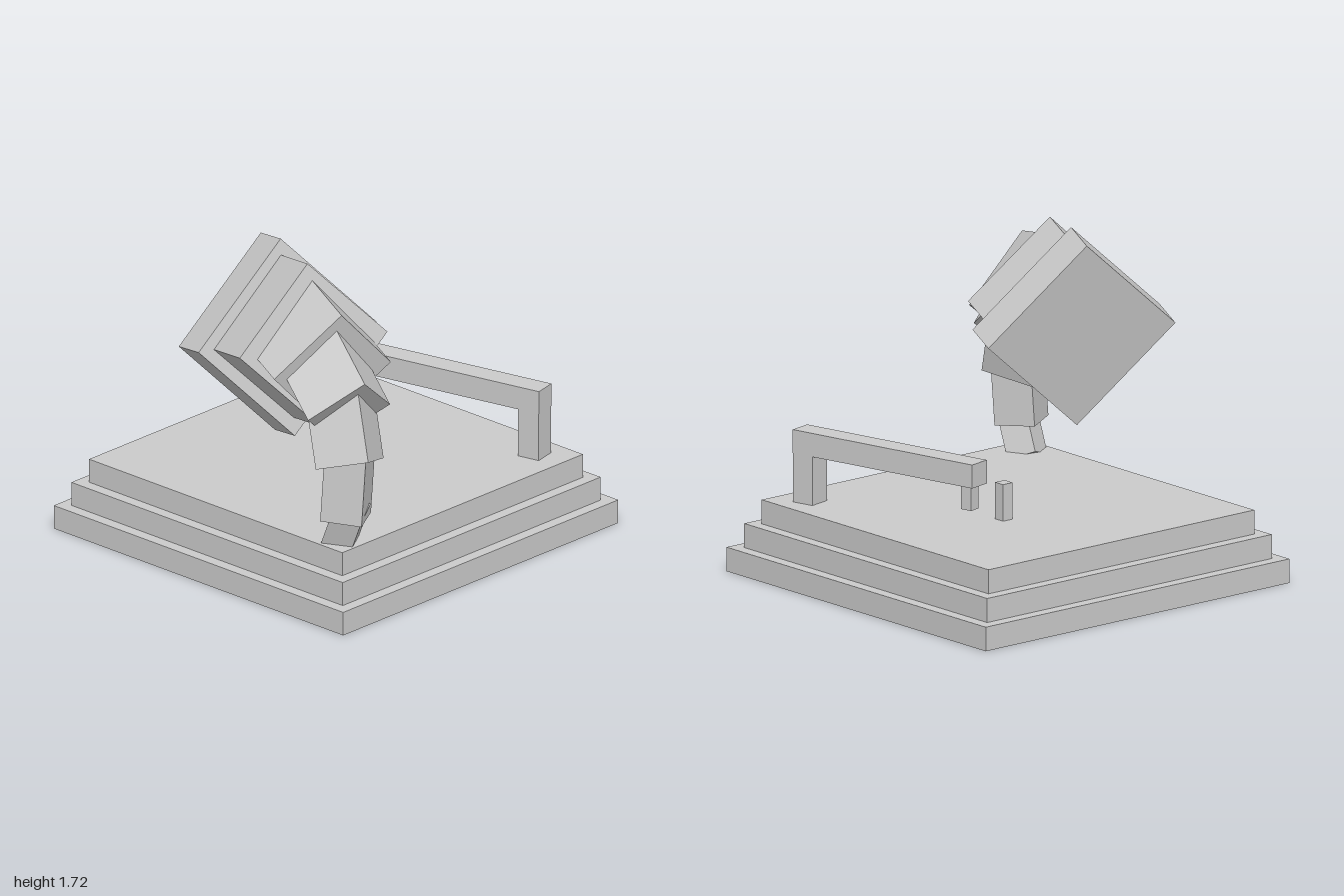
import * as THREE from 'three';

const material = new THREE.MeshStandardMaterial({ color: 0xcccccc, flatShading: true });

function box(parent, name, w, h, d, x, y, z) {
  const mesh = new THREE.Mesh(new THREE.BoxGeometry(w, h, d), material);
  mesh.name = name;
  mesh.position.set(x, y, z);
  parent.add(mesh);
  return mesh;
}

// Square block whose lower end is centred on `end`, running back against `axis`
function segment(parent, name, end, axis, side, size, length) {
  const t = new THREE.Vector3(...axis).normalize();
  const u = new THREE.Vector3(...side);
  u.addScaledVector(t, -u.dot(t)).normalize();
  const w = new THREE.Vector3().crossVectors(u, t);
  const mesh = box(parent, name, size, length, size, 0, 0, 0);
  mesh.quaternion.setFromRotationMatrix(new THREE.Matrix4().makeBasis(u, t, w));
  mesh.position.set(...end).addScaledVector(t, -length / 2);
}

export function createModel() {
  const model = new THREE.Group();
  model.name = 'steppedBaseWithCurledArm';

  // Stepped base
  [2, 1.875, 1.75].forEach((s, i) =>
    box(model, 'baseStep' + (i + 1), s, 0.125, s, 0, 0.0625 + i * 0.125, 0));

  // Overhanging bracket, turned slightly on the base
  const bracket = new THREE.Group();
  bracket.name = 'bracket';
  bracket.position.set(0.21, 0, -0.6);
  bracket.rotation.y = 0.22;
  box(bracket, 'beam', 1.125, 0.122, 0.122, 0, 0.689, 0);
  box(bracket, 'post', 0.122, 0.255, 0.122, 0.5, 0.5015, 0);
  box(bracket, 'hangingPeg', 0.0625, 0.13, 0.0625, -0.502, 0.565, 0);
  model.add(bracket);

  // Free peg standing below the beam tip
  box(model, 'standingPeg', 0.0625, 0.19, 0.0625, -0.19, 0.47, -0.19);

  // Curled arm, growing from the base up to the head
  const arm = new THREE.Group();
  arm.name = 'curledArm';
  segment(arm, 'armFoot', [0.73, 0.345, 0.75], [-0.42, -0.905, -0.07], [0.8, -0.37, -0.5], 0.156, 0.26);
  segment(arm, 'armSegment1', [0.794, 0.514, 0.766], [-0.035, -0.998, 0.05], [0.86, 0, -0.51], 0.213, 0.4);
  segment(arm, 'armSegment2', [0.81, 0.802, 0.753], [0.34, -0.927, 0.148], [0.836, 0.228, -0.498], 0.277, 0.38);
  segment(arm, 'armSegment3', [0.782, 1.066, 0.728], [0.793, -0.563, 0.231], [0.57, 0.555, -0.605], 0.342, 0.36);
  segment(arm, 'armSegment4', [0.603, 1.22, 0.66], [0.922, -0.205, 0.328], [0.378, 0.656, -0.654], 0.466, 0.4);
  segment(arm, 'armSegment5', [0.42, 1.29, 0.605], [0.929, 0.2, 0.312], [0.105, 0.68, -0.73], 0.59, 0.38);
  segment(arm, 'armHead', [0.157, 1.228, 0.516], [0.93, 0.21, 0.307], [0.109, 0.672, -0.732], 0.714, 0.215);
  model.add(arm);

  return model;
}
